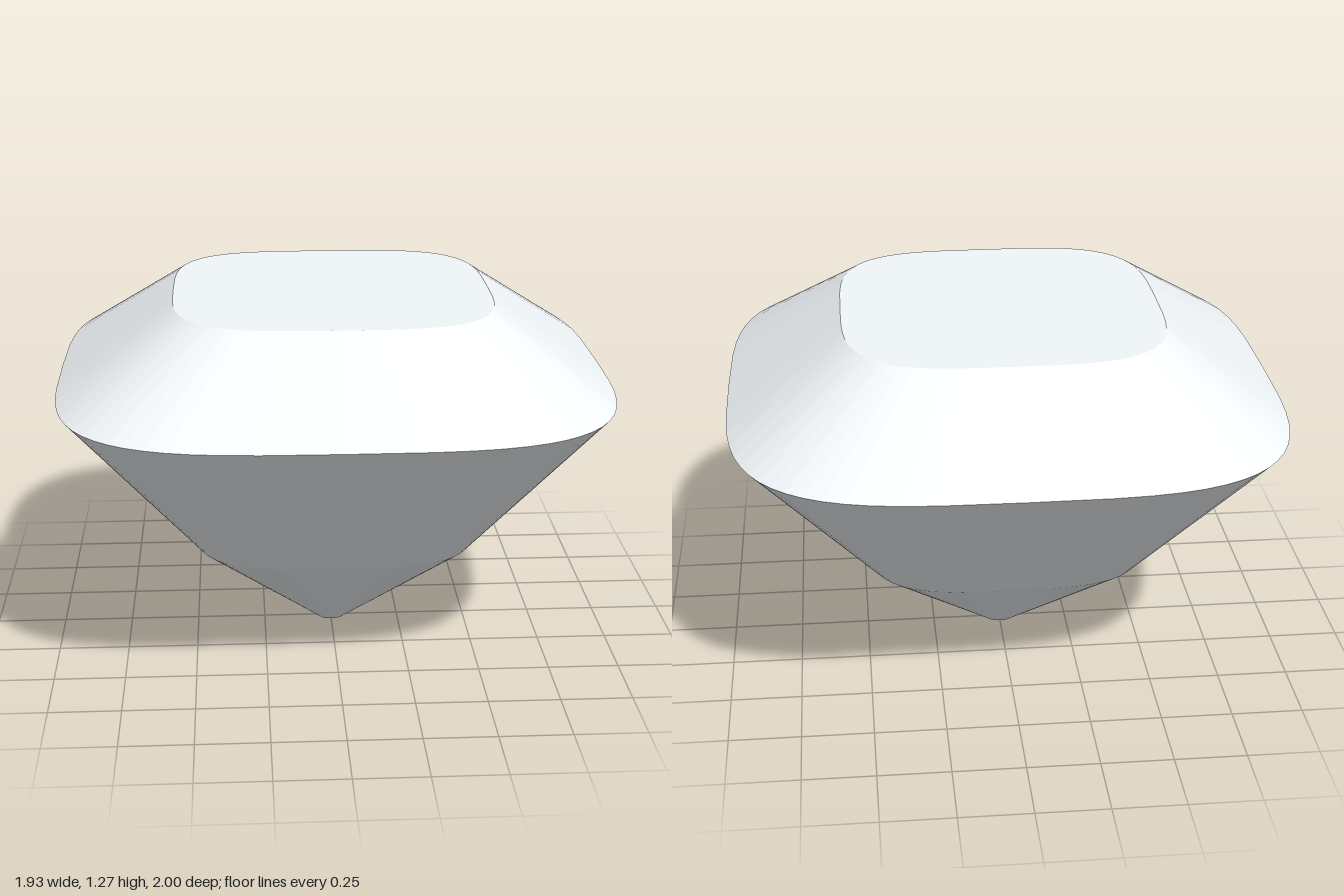
import * as THREE from 'three';

const SEGMENTS = 64;
const EXPONENT = 3.64; // squareness of the cushion outline
const WIDTH = 0.965; // x extent relative to z

const material = new THREE.MeshStandardMaterial({ color: 0xf1f6f9, flatShading: true });

// Lathe a profile of [radius, height], then square its circles into cushions
function cushion(name, profile) {
  const geometry = new THREE.LatheGeometry(profile.map(([r, y]) => new THREE.Vector2(r, y)), SEGMENTS);
  const pos = geometry.attributes.position;
  const bulge = (v, r) => (r === 0 ? 0 : Math.sign(v) * r * Math.pow(Math.abs(v) / r, 2 / EXPONENT));
  for (let i = 0; i < pos.count; i++) {
    const x = pos.getX(i), z = pos.getZ(i), r = Math.hypot(x, z);
    pos.setX(i, WIDTH * bulge(x, r));
    pos.setZ(i, bulge(z, r));
  }
  geometry.computeVertexNormals();
  const mesh = new THREE.Mesh(geometry, material);
  mesh.name = name;
  return mesh;
}

export function createModel() {
  const gem = new THREE.Group();
  gem.name = 'cushionCutGem';

  // Rings from the bottom tip to the flat top
  const tip = [0.04, 0], lower = [0.52, 0.406], girdle = [1, 0.995], rim = [0.58, 1.275];

  gem.add(
    cushion('culet', [[0, 0], tip]),
    cushion('lowerPavilion', [tip, lower]),
    cushion('upperPavilion', [lower, girdle]),
    cushion('crown', [girdle, rim]),
    cushion('table', [rim, [0, rim[1]]]),
  );
  return gem;
}
